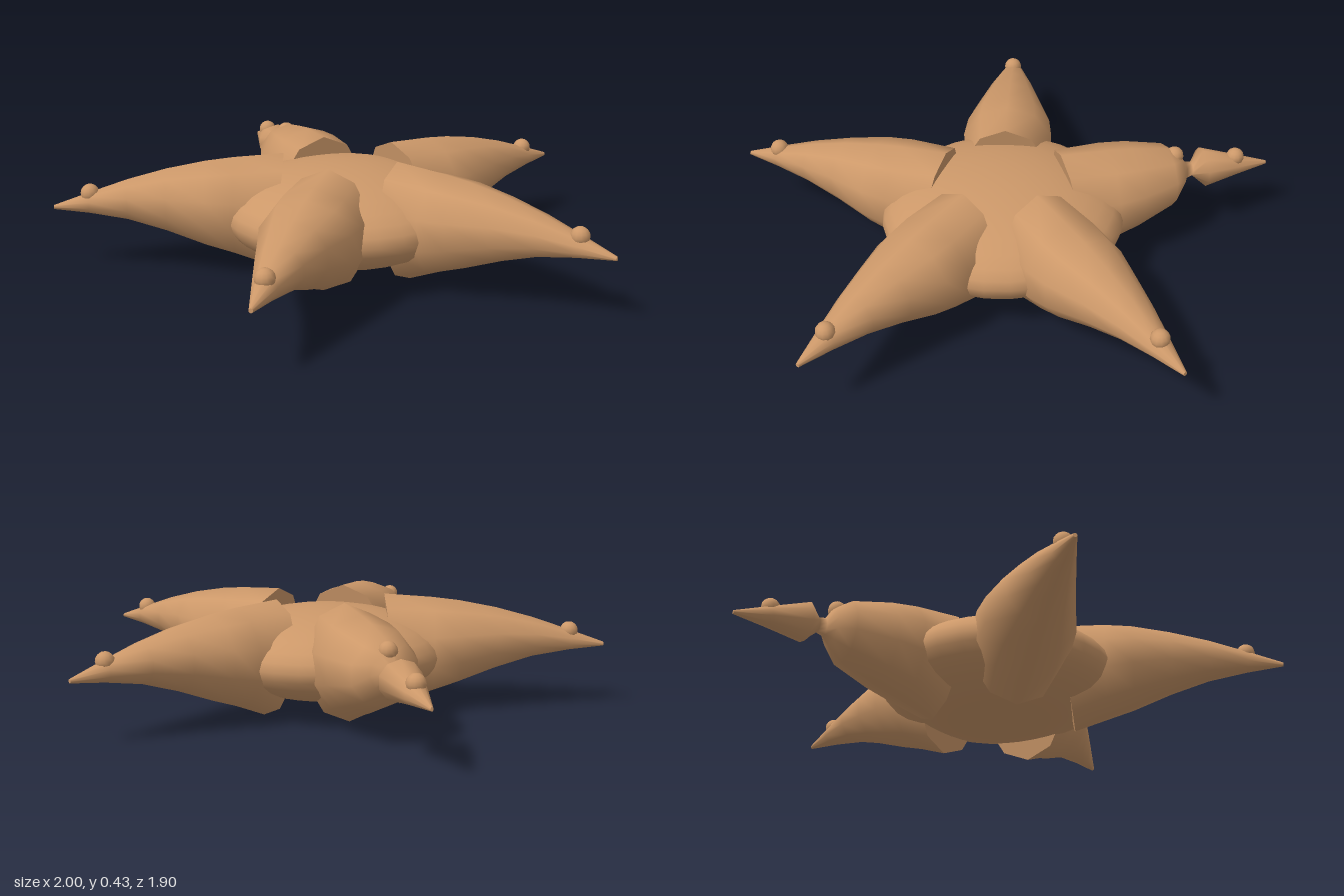
import * as THREE from 'three';

const SIDES = 10;

// Arm stations: [distance from centre, half width, top y, bottom y, twist]
const ROOT = [
  [0.25, 0.155, 0.425, 0.0, 0],
  [0.4, 0.17, 0.412, 0.05, 0],
  [0.5, 0.16, 0.4, 0.085, 0],
  [0.64, 0.118, 0.373, 0.14, 0],
];
const PLAIN_END = [
  [0.78, 0.08, 0.335, 0.185, 0],
  [0.92, 0.042, 0.287, 0.21, 0],
  [1.05, 0.007, 0.24, 0.225, 0],
];
const PINCHED_END = [
  [0.69, 0.07, 0.335, 0.2, 0.2],
  [0.715, 0.028, 0.295, 0.225, 0.9],
  [0.74, 0.024, 0.29, 0.235, 1.8],
  [0.785, 0.075, 0.335, 0.19, Math.PI],
  [0.92, 0.04, 0.287, 0.21, Math.PI],
  [1.05, 0.005, 0.24, 0.225, Math.PI],
];

// Lofts a ten-sided arm along +z, closed at both ends
function armGeometry(stations) {
  const pos = [], index = [];
  const addRing = (j) => {
    const [r, w, top, bottom, twist] = stations[j];
    const mid = (top + bottom) / 2, h = (top - bottom) / 2;
    for (let i = 0; i < SIDES; i++) {
      const a = (i / SIDES) * Math.PI * 2 + twist;
      const lean = j === 0 ? -0.03 * Math.cos(a) : 0; // slanted root face
      pos.push((w / 0.951) * Math.sin(a), mid + h * Math.cos(a), r + lean);
    }
  };
  stations.forEach((s, j) => addRing(j));
  for (let j = 0; j < stations.length - 1; j++) {
    for (let i = 0; i < SIDES; i++) {
      const n = (i + 1) % SIDES;
      const a = j * SIDES + i, b = j * SIDES + n, c = a + SIDES, d = b + SIDES;
      index.push(a, c, b, b, c, d);
    }
  }
  // End caps have their own vertices so their edges stay sharp
  for (const [j, flip] of [[0, false], [stations.length - 1, true]]) {
    const start = pos.length / 3;
    addRing(j);
    for (let i = 1; i < SIDES - 1; i++) {
      if (flip) index.push(start, start + i + 1, start + i);
      else index.push(start, start + i, start + i + 1);
    }
  }
  const g = new THREE.BufferGeometry();
  g.setAttribute('position', new THREE.Float32BufferAttribute(pos, 3));
  g.setIndex(index);
  g.computeVertexNormals();
  return g;
}

export function createModel() {
  const model = new THREE.Group();
  model.name = 'starfish';
  const skin = new THREE.MeshStandardMaterial({ color: 0xcc9869 });
  skin.name = 'sandy skin';

  const add = (parent, geometry, name, x = 0, y = 0, z = 0) => {
    const mesh = new THREE.Mesh(geometry, skin);
    mesh.name = name;
    mesh.position.set(x, y, z);
    parent.add(mesh);
    return mesh;
  };

  const star = new THREE.Group();
  star.name = 'starBody';
  star.position.z = 0.1;
  model.add(star);

  // Flattened central body
  const disc = new THREE.SphereGeometry(1, 30, 16);
  disc.scale(0.445, 0.17, 0.445);
  add(star, disc, 'centralDisc', 0, 0.21, 0);

  // Five arms, the back one pinched and twisted near its tip
  const plainArm = armGeometry([...ROOT, ...PLAIN_END]);
  const pinchedArm = armGeometry([...ROOT, ...PINCHED_END]);
  const bump = new THREE.SphereGeometry(0.034, 12, 8);
  const names = ['frontLeftArm', 'backLeftArm', 'backArm', 'backRightArm', 'frontRightArm'];
  names.forEach((name, k) => {
    const arm = new THREE.Group();
    arm.name = name;
    arm.rotation.y = (Math.PI / 5) * (1 + 2 * k);
    add(arm, k === 2 ? pinchedArm : plainArm, 'armBody');
    add(arm, bump, 'tipBump', 0, 0.284, 0.918);
    if (k === 2) add(arm, bump, 'pinchBump', 0, 0.338, 0.668);
    star.add(arm);
  });

  return model;
}
